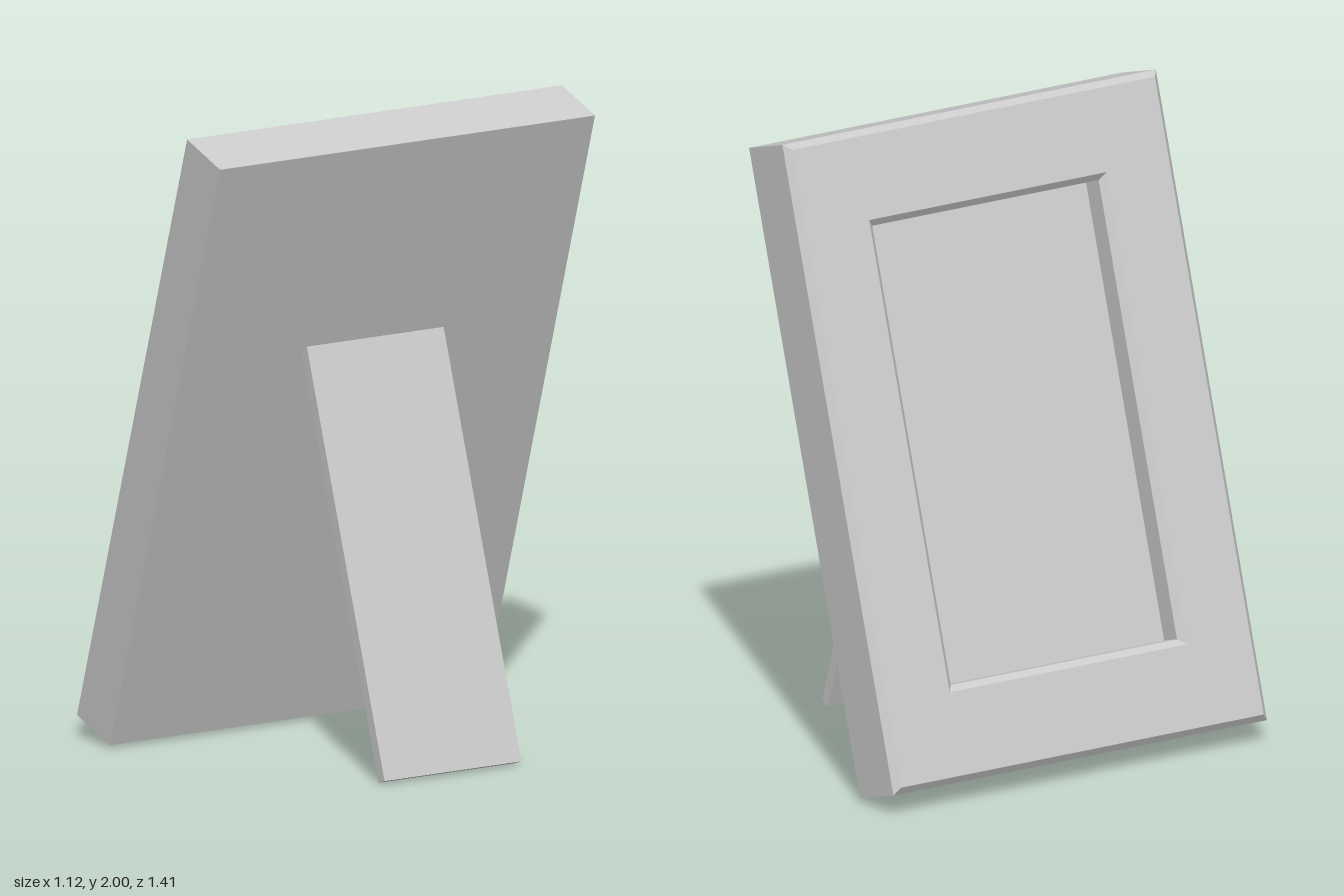
import * as THREE from 'three';

const YAW = -0.0465;   // slight turn of the whole object
const LEAN = 0.311;    // backward tilt of the frame
const LEG_TILT = 0.329;

// Joins a sequence of rectangles [halfWidth, halfHeight, depth] into a faceted skin.
// Depth grows toward -x; width runs along z, height along y.
function rectangleLoft(rings) {
  const corners = [[1, 1], [-1, 1], [-1, -1], [1, -1]];
  const point = ([w, h, d], k) => [-d, corners[k % 4][1] * h, corners[k % 4][0] * w];
  const positions = [];
  for (let i = 0; i < rings.length - 1; i++) {
    for (let k = 0; k < 4; k++) {
      const a = point(rings[i], k), b = point(rings[i], k + 1);
      const c = point(rings[i + 1], k + 1), d = point(rings[i + 1], k);
      positions.push(...a, ...b, ...c, ...a, ...c, ...d);
    }
  }
  const geometry = new THREE.BufferGeometry();
  geometry.setAttribute('position', new THREE.Float32BufferAttribute(positions, 3));
  geometry.computeVertexNormals();
  return geometry;
}

export function createModel() {
  const model = new THREE.Group();
  model.name = 'pictureFrame';
  model.rotation.y = YAW;
  const material = new THREE.MeshStandardMaterial({ color: 0xcccccc, flatShading: true });

  // Frame body: flat back, chamfered outer rim, chamfered opening
  const frame = new THREE.Group();
  frame.name = 'frame';
  frame.position.set(-0.02, 0.975, 0);
  frame.rotation.z = -LEAN;
  const border = new THREE.Mesh(rectangleLoft([
    [0, 0, 0],
    [0.685, 1.013, 0],
    [0.685, 1.013, 0.195],
    [0.665, 0.993, 0.215],
    [0.435, 0.735, 0.215],
    [0.415, 0.715, 0.195],
    [0.415, 0.715, 0.12],
  ]), material);
  border.name = 'frameBorder';

  // Recessed picture panel
  const panel = new THREE.Mesh(new THREE.PlaneGeometry(0.83, 1.43), material);
  panel.name = 'picturePanel';
  panel.rotation.y = -Math.PI / 2;
  panel.position.x = -0.12;
  frame.add(border, panel);
  model.add(frame);

  // Rear support leg
  const leg = new THREE.Mesh(new THREE.BoxGeometry(0.036, 1.355, 0.5), material);
  leg.name = 'supportLeg';
  leg.position.set(0.313, 0.648, 0.002);
  leg.rotation.z = LEG_TILT;
  model.add(leg);

  const root = new THREE.Group();
  root.name = 'standingPictureFrame';
  root.add(model);
  return root;
}
